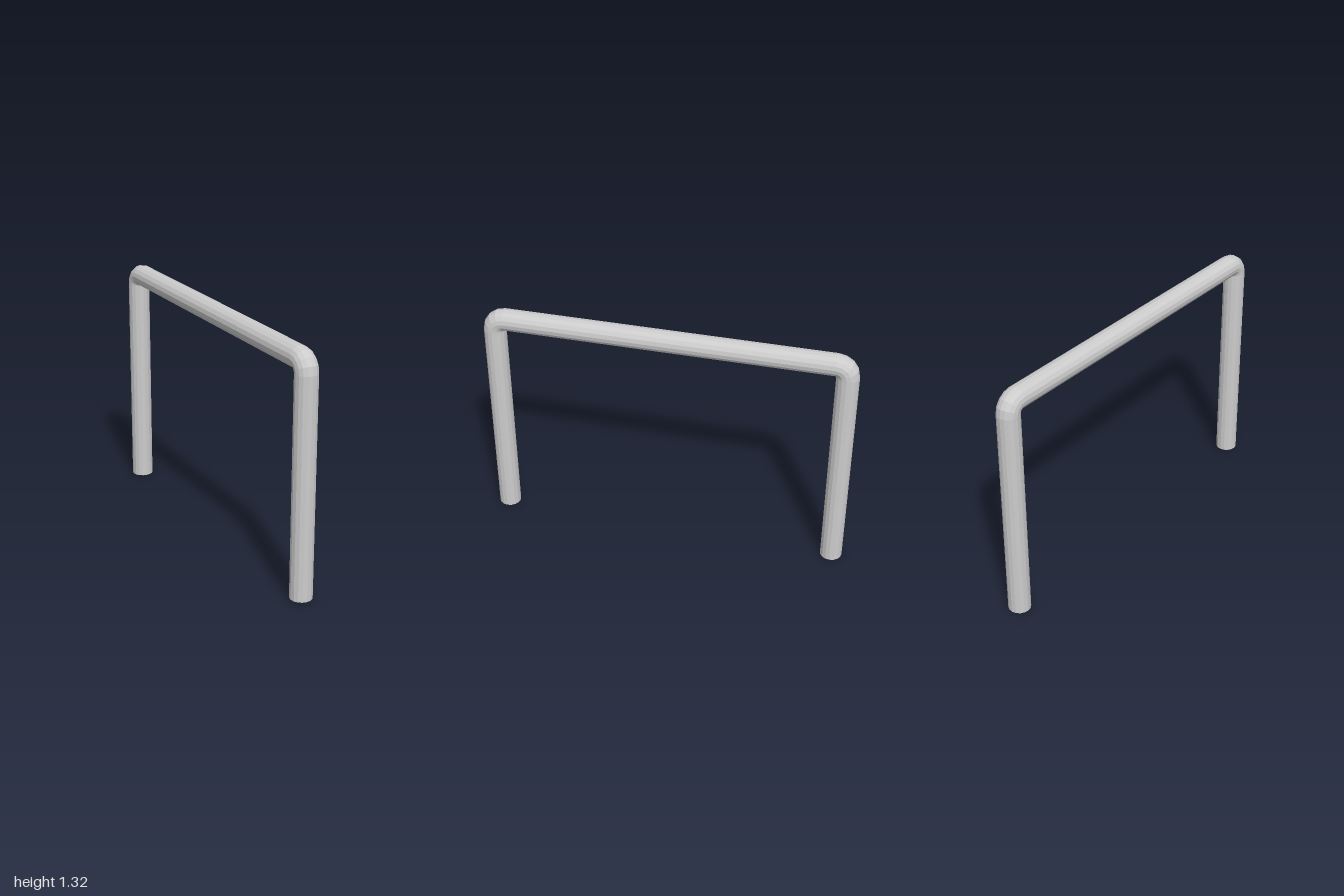
import * as THREE from 'three';

const R = 0.06;          // tube radius
const SIDES = 16;
const BEND = 0.0605;     // bend radius along the tube axis
const AXIS_Z = 0.94;     // leg axis distance from the centre
const AXIS_Y = 1.255;    // height of the top rail axis

export function createModel() {
  const group = new THREE.Group();
  const material = new THREE.MeshStandardMaterial({ color: 0xcccccc, flatShading: true });

  function add(name, geometry) {
    const mesh = new THREE.Mesh(geometry, material);
    mesh.name = name;
    group.add(mesh);
    return mesh;
  }

  const bendY = AXIS_Y - BEND;
  const bendZ = AXIS_Z - BEND;

  // Horizontal top rail
  const rail = add('topRail', new THREE.CylinderGeometry(R, R, 2 * bendZ, SIDES, 1, true));
  rail.rotation.x = Math.PI / 2;
  rail.position.y = AXIS_Y;

  // Legs with closed feet and the bends joining them to the rail; the front leg is slightly shorter
  for (const [label, side, bottom] of [['front', 1, 0.015], ['back', -1, 0]]) {
    const height = bendY - bottom;
    const leg = add(label + 'Leg', new THREE.CylinderGeometry(R, R, height, SIDES));
    leg.position.set(0, bottom + height / 2, side * AXIS_Z);

    const bend = add(label + 'Bend', new THREE.TorusGeometry(BEND, R, SIDES, 4, Math.PI / 2));
    bend.rotation.y = -side * Math.PI / 2;
    bend.position.set(0, bendY, side * bendZ);
  }

  return group;
}
